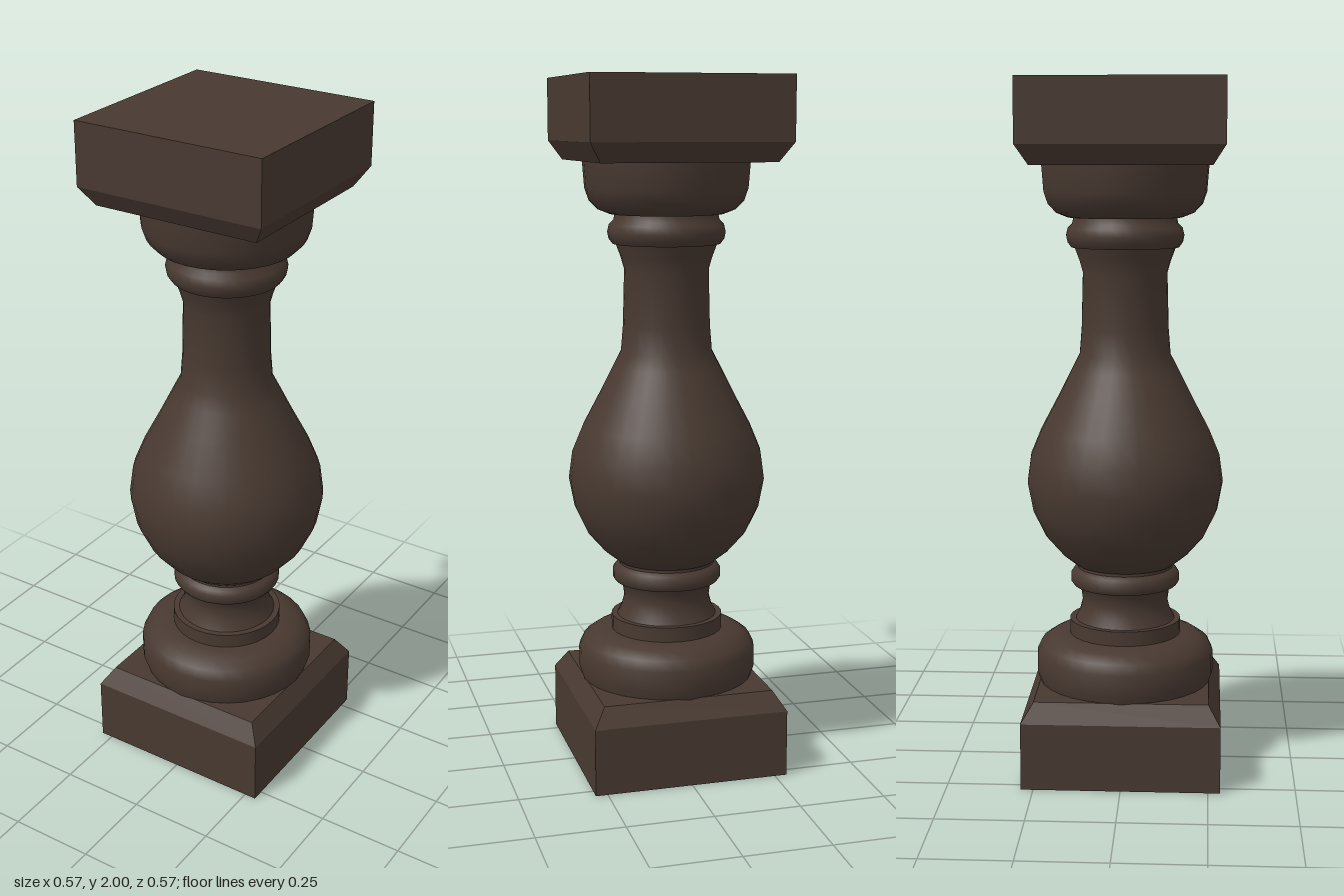
import * as THREE from 'three';
import { toCreasedNormals } from 'three/addons/utils/BufferGeometryUtils.js';

const wood = new THREE.MeshStandardMaterial({ color: 0x483931 });
wood.name = 'dark brown';

// Turned part from [radius, height] pairs listed bottom to top
function turned(name, profile, sides = 32, crease = 0.75, phi = 0) {
  const points = profile.map(([r, y]) => new THREE.Vector2(r, y));
  const geometry = toCreasedNormals(new THREE.LatheGeometry(points, sides, phi), crease);
  const mesh = new THREE.Mesh(geometry, wood);
  mesh.name = name;
  return mesh;
}

// Square block: the same sweep with four sides, sized by half width
function block(name, profile) {
  return turned(name, profile.map(([h, y]) => [h * Math.SQRT2, y]), 4, 0.2, Math.PI / 4);
}

export function createModel() {
  const group = new THREE.Group();
  group.name = 'baluster';
  group.add(
    // Square ends with chamfered inner edges
    block('basePlinth', [[0, 0], [0.285, 0], [0.285, 0.195], [0.25, 0.25], [0, 0.25]]),
    block('topBlock', [[0, 1.765], [0.25, 1.765], [0.285, 1.82], [0.285, 2], [0, 2]]),

    // Lower mouldings
    turned('baseCushion', [[0.1, 0.245], [0.252, 0.245], [0.262, 0.275], [0.262, 0.335],
      [0.249, 0.363], [0.22, 0.383], [0.18, 0.392], [0.1, 0.392]]),
    turned('baseCollar', [[0.164, 0.39], [0.164, 0.435], [0.1, 0.435]]),
    turned('lowerNeck', [[0.147, 0.434], [0.134, 0.46], [0.126, 0.49], [0.13, 0.52], [0.142, 0.542]]),
    turned('lowerRing', [[0.1, 0.54], [0.153, 0.54], [0.16, 0.55], [0.16, 0.572],
      [0.152, 0.584], [0.14, 0.592], [0.14, 0.605]]),

    // Vase-shaped body and slender neck
    turned('body', [[0.1, 0.6], [0.145, 0.602], [0.187, 0.635], [0.235, 0.69], [0.271, 0.765],
      [0.287, 0.85], [0.276, 0.93], [0.245, 1.005], [0.195, 1.1], [0.155, 1.18], [0.132, 1.225],
      [0.126, 1.3], [0.122, 1.46], [0.132, 1.495], [0.147, 1.535]]),

    // Upper mouldings
    turned('upperRing', [[0.1, 1.532], [0.155, 1.532], [0.166, 1.547], [0.17, 1.566],
      [0.165, 1.587], [0.152, 1.6], [0.148, 1.62]]),
    turned('capitalCup', [[0.1, 1.615], [0.165, 1.617], [0.198, 1.63], [0.222, 1.655],
      [0.234, 1.69], [0.24, 1.768]]),
  );
  return group;
}
